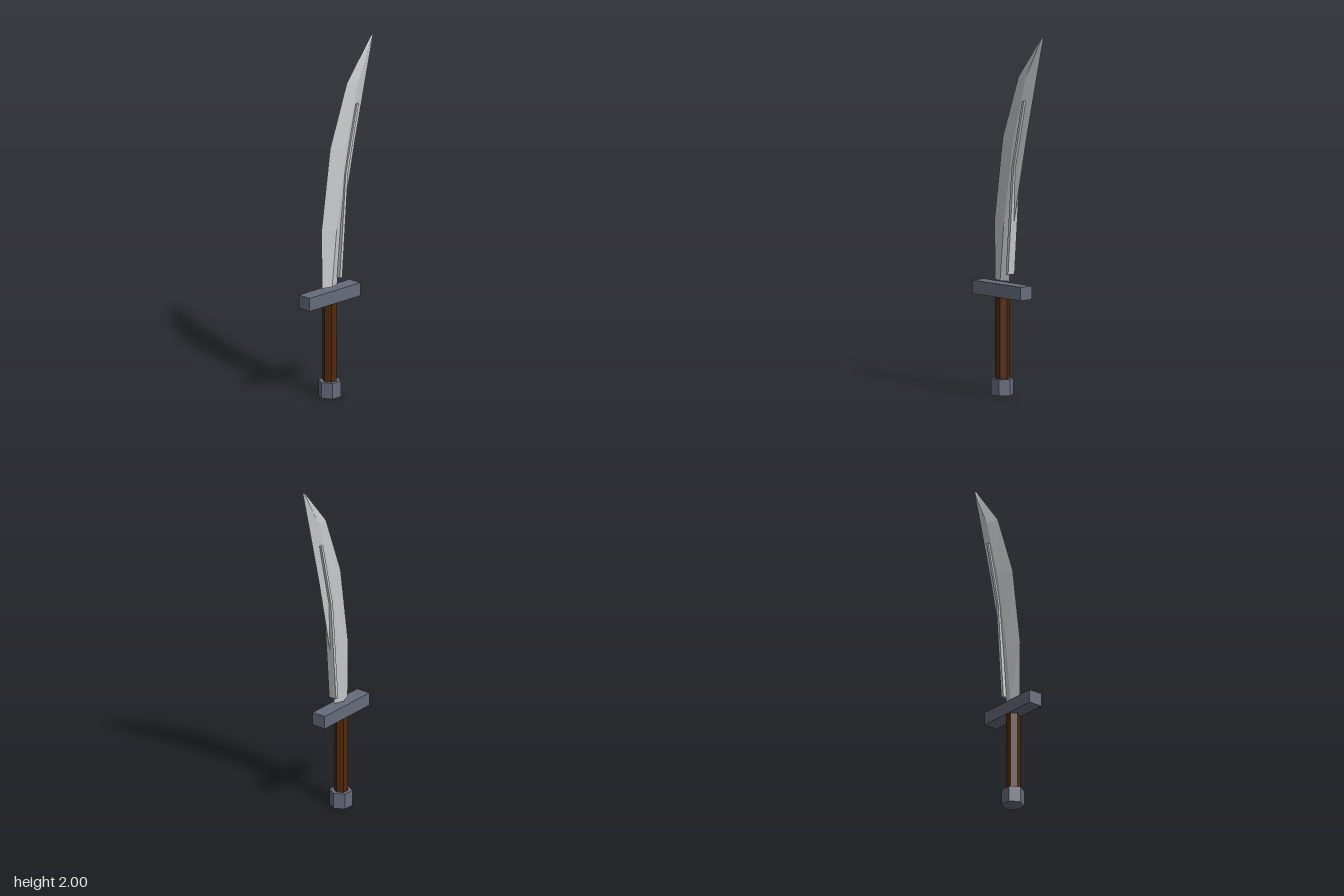
import * as THREE from 'three';

// Skin a row of four-cornered rings, each counter-clockwise seen from above, and cap both ends
function loft(rings) {
  const pos = [], index = [];
  rings.forEach(ring => ring.forEach(p => pos.push(...p)));
  const quad = (a, b, c, d) => index.push(a, b, c, a, c, d);
  for (let r = 0; r < rings.length - 1; r++) {
    for (let i = 0; i < 4; i++) {
      const a = r * 4 + i, b = r * 4 + (i + 1) % 4;
      quad(a, b, b + 4, a + 4);
    }
  }
  const t = (rings.length - 1) * 4;
  quad(3, 2, 1, 0);
  quad(t, t + 1, t + 2, t + 3);
  const geo = new THREE.BufferGeometry();
  geo.setAttribute('position', new THREE.Float32BufferAttribute(pos, 3));
  geo.setIndex(index);
  const flat = geo.toNonIndexed();
  flat.computeVertexNormals();
  return flat;
}

export function createModel() {
  const steel = new THREE.MeshStandardMaterial({ name: 'steel', color: 0xc6cacb, flatShading: true });
  const iron = new THREE.MeshStandardMaterial({ name: 'dark iron', color: 0x666c7b, flatShading: true });
  const wood = new THREE.MeshStandardMaterial({ name: 'brown grip', color: 0x50290a, flatShading: true });

  const group = new THREE.Group();
  group.name = 'sword';
  const add = (name, geo, mat, x = 0, y = 0) => {
    const mesh = new THREE.Mesh(geo, mat);
    mesh.name = name;
    mesh.position.set(x, y, 0);
    group.add(mesh);
  };
  const hexPrism = (radius, height) =>
    new THREE.CylinderGeometry(radius, radius, height, 6).rotateY(Math.PI / 6);

  // Hilt, centred on its own axis
  const axis = -0.07;
  add('pommel', hexPrism(0.063, 0.09), iron, axis, 0.045);
  add('grip', hexPrism(0.04, 0.46), wood, axis, 0.315);
  add('guard', new THREE.BoxGeometry(0.386, 0.075, 0.084), iron, axis, 0.578);

  // Curved blade with a diamond section: height, back edge, ridge, front edge, half thickness
  const sections = [
    [0.63, -0.128, -0.068, -0.013, 0.018],
    [0.96, -0.132, -0.035, 0.025, 0.02],
    [1.42, -0.066, 0.04, 0.122, 0.019],
    [1.766, 0.06, 0.135, 0.204, 0.016],
    [2.0, 0.246, 0.254, 0.261, 0.006],
  ];
  add('blade', loft(sections.map(([y, l, m, r, h]) =>
    [[l, y, 0], [m, y, h], [r, y, 0], [m, y, -h]])), steel);

  // Raised rib passing through the blade: height, left side, right side
  const rib = [[0.67, -0.016, 0.003], [1.26, 0.03, 0.047], [1.64, 0.115, 0.13]];
  const d = 0.024;
  add('bladeRib', loft(rib.map(([y, l, r]) =>
    [[l, y, -d], [l, y, d], [r, y, d], [r, y, -d]])), steel);

  return group;
}
